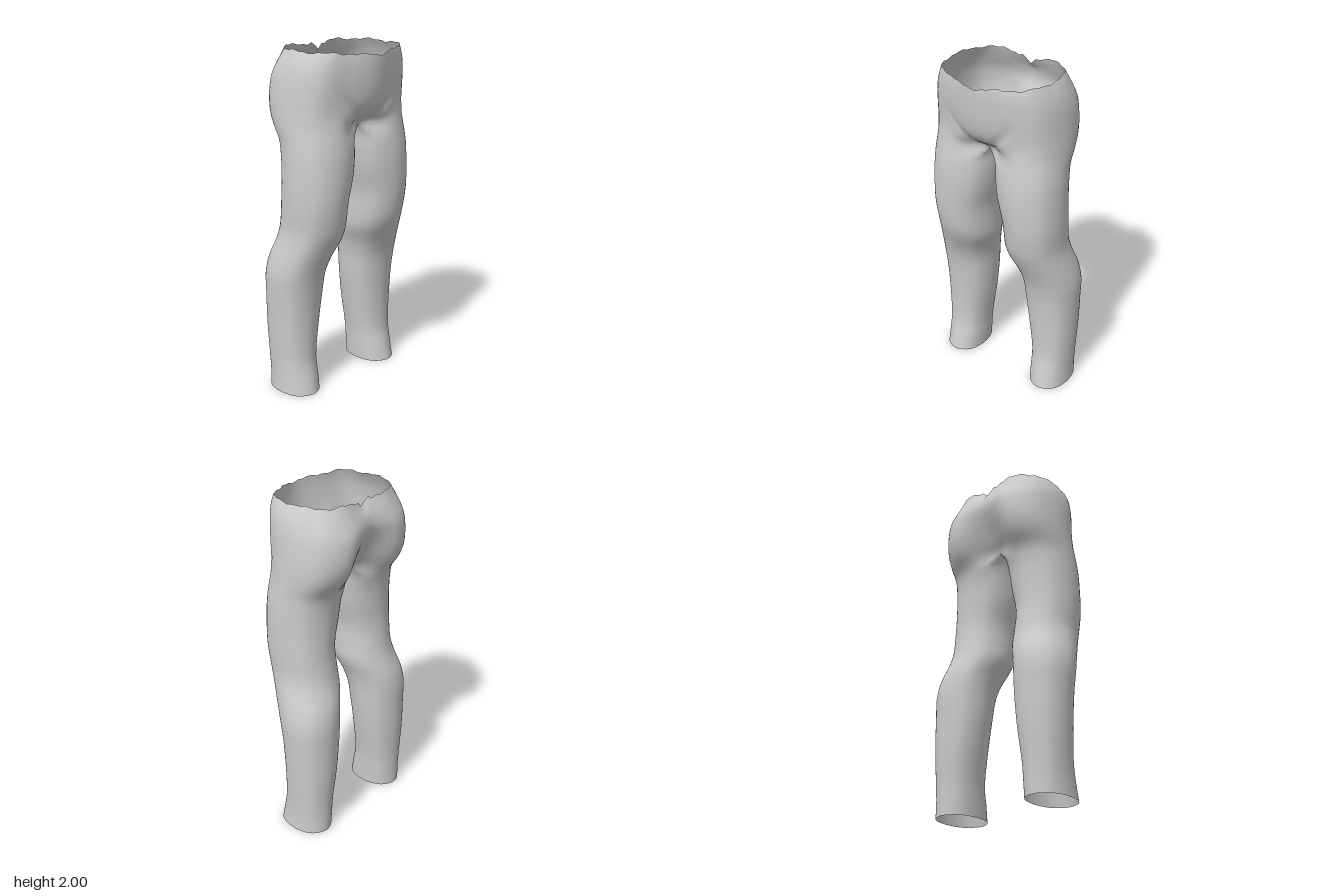
import * as THREE from 'three';
import { mergeVertices } from 'three/addons/utils/BufferGeometryUtils.js';

// Leg levels: y, inner x, outer x, front z, back z
const LEG = [
  [0, .205, .44, .10, -.225], [.1, .2, .437, .08, -.225], [.2, .195, .44, .06, -.228],
  [.4, .165, .45, .06, -.24], [.6, .14, .458, .075, -.242], [.72, .13, .462, .095, -.242],
  [.82, .11, .448, .13, -.228], [.92, .075, .425, .175, -.195], [1.0, .07, .412, .205, -.175],
  [1.15, .07, .415, .23, -.157], [1.3, .035, .413, .238, -.158], [1.42, .018, .41, .235, -.167],
  [1.5, .01, .405, .226, -.187],
];
// Hip levels, from the crotch up: y, outer x, front z, back z, centre front z, centre back z
const HIP = [
  [1.575, .402, .217, -.24, .14, -.12], [1.63, .4, .215, -.268, .205, -.155],
  [1.69, .396, .218, -.285, .25, -.19], [1.76, .39, .228, -.291, .272, -.228],
  [1.84, .38, .238, -.283, .284, -.258], [1.91, .363, .244, -.253, .29, -.246],
  [1.96, .343, .246, -.232, .292, -.222], [1.995, .325, .245, -.22, .293, -.205],
];
const SUB = 6;          // columns per control segment
const COLS = 8 * SUB;   // columns round one leg
const SEAM = 6 * SUB;   // columns before this one continue into the hips
const ROWSUB = 3;       // rows per level

const v = (x, y, z) => new THREE.Vector3(x, y, z);

// Eight control points: front seam, front, front outer, outer, back outer, back, back seam, inner
function controls(y, xi, xo, zf, zb, seamF, seamB) {
  const cx = (xi + xo) / 2, cz = (zf + zb) / 2;
  const dx = .73 * (xo - xi) / 2, dz = .73 * (zf - zb) / 2;
  const hip = seamF !== undefined;
  return [
    hip ? v(0, y, seamF) : v(cx - dx, y, cz + dz),
    v(cx, y, zf), v(cx + dx, y, cz + dz), v(xo, y, cz), v(cx + dx, y, cz - dz), v(cx, y, zb),
    hip ? v(0, y, seamB) : v(cx - dx, y, cz - dz),
    hip ? v(0, y, (seamF + seamB) / 2) : v(xi, y, cz),
  ];
}

// Closed loop for a leg
function legRing([y, xi, xo, zf, zb]) {
  const curve = new THREE.CatmullRomCurve3(controls(y, xi, xo, zf, zb), true);
  return Array.from({ length: COLS }, (_, i) => curve.getPoint(i / COLS));
}

// Half loop for the hips, smooth across the centre, closed by a straight centre line
function hipRing([y, xo, zf, zb, seamF, seamB]) {
  const c = controls(y, 0, xo, zf, zb, seamF, seamB);
  const flip = (p) => v(-p.x, p.y, p.z);
  const curve = new THREE.CatmullRomCurve3([flip(c[1]), ...c.slice(0, 7), flip(c[5])]);
  return Array.from({ length: COLS }, (_, i) => {
    if (i > SEAM) return c[6].clone().lerp(c[0], (i - SEAM) / (COLS - SEAM));
    const p = curve.getPoint((1 + i / SUB) / 8);
    if (i === 0 || i === SEAM) p.x = 0;
    return p;
  });
}

// Groin crease and ragged waist edge
function detail(p) {
  if (p.z > .1 && p.y > 1.55 && p.y < 1.85) {
    const t = THREE.MathUtils.clamp((p.y - 1.59) / .17, 0, 1);
    const d = (Math.abs(p.x) - (.045 + .145 * t)) / .028;
    const fade = THREE.MathUtils.smoothstep(p.y, 1.55, 1.61) * (1 - THREE.MathUtils.smoothstep(p.y, 1.68, 1.82));
    p.z -= .013 * fade * Math.exp(-d * d);
  }
  if (p.y > 1.9) {
    const w = (p.y - 1.9) / .095;
    const a = Math.atan2(p.x, p.z);
    let drop = .007 + .005 * Math.sin(9 * a + 1) + .004 * Math.sin(23 * a);
    if (p.z > 0) drop += .02 * Math.exp(-((p.x / .16) ** 2));
    else drop += .025 * Math.exp(-(((p.x - .02) / .07) ** 2)) * (1 + .7 * Math.sin(70 * p.x));
    p.y = Math.min(2, p.y + w * (.005 - drop));
  }
  return p;
}

export function createModel() {
  const grey = new THREE.MeshStandardMaterial({ color: 0xcccccc, side: THREE.DoubleSide });
  grey.name = 'plain grey';

  const rings = [...LEG.map(legRing), ...HIP.map(hipRing)];
  const rows = (rings.length - 1) * ROWSUB;
  const crotchRow = LEG.length * ROWSUB;
  const columns = Array.from({ length: COLS }, (_, i) =>
    new THREE.CatmullRomCurve3(rings.map((r) => r[i])));

  // Both sides share one surface so that shading runs smoothly over the centre
  const positions = [];
  const parts = { hips: [], leftLeg: [], rightLeg: [] };
  for (const side of [1, -1]) {
    const base = positions.length / 3;
    for (let r = 0; r <= rows; r++) {
      for (let i = 0; i < COLS; i++) {
        const p = columns[i].getPoint(r / rows);
        p.x = side * Math.max(0, p.x);
        if (r >= crotchRow && (i === 0 || i >= SEAM)) p.x = 0;
        detail(p);
        positions.push(p.x, p.y, p.z);
      }
    }
    for (let r = 0; r < rows; r++) {
      const isHip = r >= crotchRow;
      const list = isHip ? parts.hips : side > 0 ? parts.leftLeg : parts.rightLeg;
      for (let i = 0; i < (isHip ? SEAM : COLS); i++) {
        const j = (i + 1) % COLS;
        const a = base + r * COLS + i, b = base + r * COLS + j;
        const c = b + COLS, d = a + COLS;
        if (side > 0) list.push(a, b, c, a, c, d);
        else list.push(a, c, b, a, d, c);
      }
    }
  }

  let whole = new THREE.BufferGeometry();
  whole.setAttribute('position', new THREE.Float32BufferAttribute(positions, 3));
  whole.setIndex(Object.values(parts).flat());
  whole = mergeVertices(whole, 1e-5);
  whole.computeVertexNormals();

  // Split the surface into its named parts
  const model = new THREE.Group();
  model.name = 'legsAndHips';
  const flat = whole.toNonIndexed();
  let start = 0;
  for (const [name, list] of Object.entries(parts)) {
    const geometry = new THREE.BufferGeometry();
    for (const key of ['position', 'normal']) {
      const data = flat.getAttribute(key).array.slice(start * 3, (start + list.length) * 3);
      geometry.setAttribute(key, new THREE.BufferAttribute(data, 3));
    }
    start += list.length;
    const mesh = new THREE.Mesh(geometry, grey);
    mesh.name = name;
    model.add(mesh);
  }
  return model;
}
